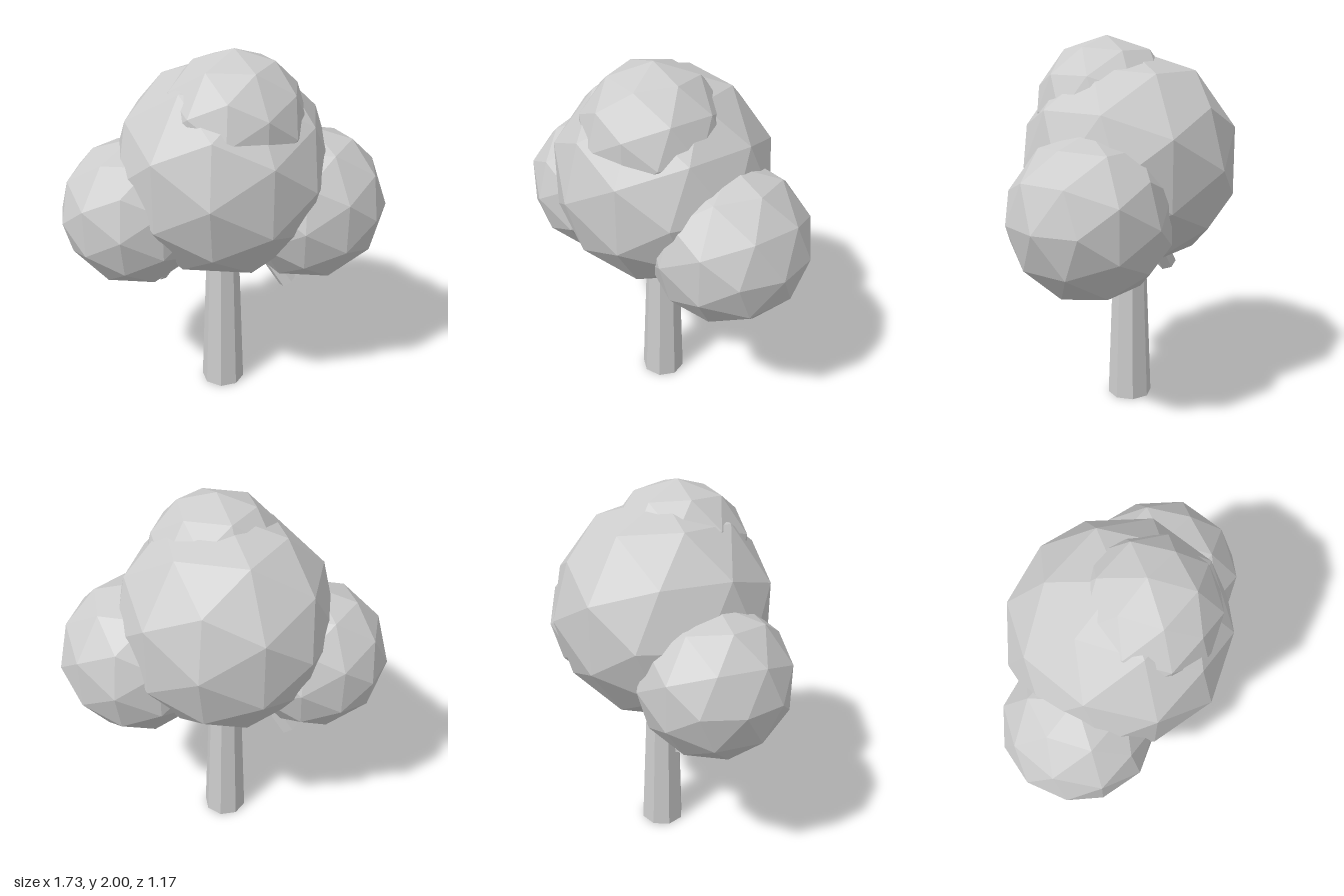
import * as THREE from 'three';

export function createModel() {
  const tree = new THREE.Group();
  tree.name = 'tree';
  const grey = new THREE.MeshStandardMaterial({ color: 0xcccccc, flatShading: true });
  grey.name = 'plain grey';

  const add = (name, geometry, x, y, z) => {
    const mesh = new THREE.Mesh(geometry, grey);
    mesh.name = name;
    mesh.position.set(x, y, z);
    tree.add(mesh);
    return mesh;
  };

  // Tapered eight-sided trunk, ending inside the crown
  const trunkHeight = 1;
  add('trunk', new THREE.CylinderGeometry(0.084, 0.122, trunkHeight, 8), -0.013, trunkHeight / 2, 0);

  // Short six-sided branches, their lower ends pointing outwards
  const branchLength = 0.4, tilt = 0.6;
  const branch = (name, x, y, radius, side) => {
    const geometry = new THREE.CylinderGeometry(radius * 0.9, radius, branchLength, 6);
    geometry.rotateY(Math.PI / 6);
    geometry.translate(0, branchLength / 2, 0); // pivot at the lower end
    add(name, geometry, x, y, 0).rotation.z = side * tilt;
  };
  branch('leftBranch', 0.352, 0.676, 0.052, 1);
  branch('rightBranch', -0.383, 0.68, 0.055, -1);

  // Faceted foliage balls: name, radius, centre
  const foliage = [
    ['mainFoliage', 0.583, -0.013, 1.35, 0],
    ['leftFoliage', 0.425, 0.436, 1.13, -0.09],
    ['rightFoliage', 0.4, -0.465, 1.127, 0.11],
    ['topFoliage', 0.38, 0.053, 1.62, 0.1],
  ];
  for (const [name, radius, x, y, z] of foliage) {
    add(name, new THREE.IcosahedronGeometry(radius, 1), x, y, z);
  }

  return tree;
}
